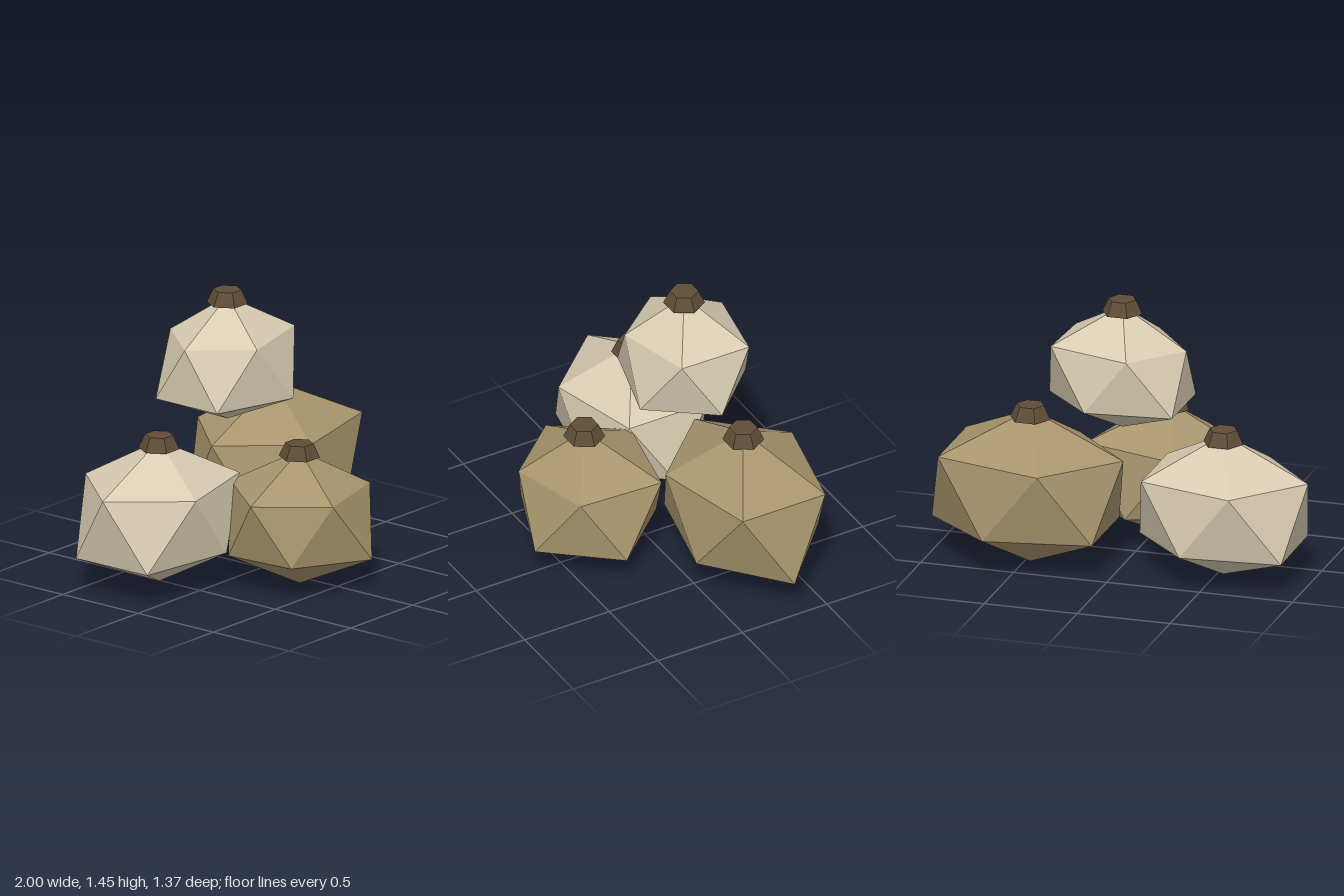
import * as THREE from 'three';

const paleCloth = new THREE.MeshStandardMaterial({ color: 0xd8cdb2, flatShading: true });
paleCloth.name = 'paleCloth';
const tanCloth = new THREE.MeshStandardMaterial({ color: 0xa8956d, flatShading: true });
tanCloth.name = 'tanCloth';
const darkTie = new THREE.MeshStandardMaterial({ color: 0x5f4e37, flatShading: true });
darkTie.name = 'darkTie';

// Lumpy icosahedron standing on a corner; each corner is pushed in or out by a factor
function lumpyBody([rx, ry, rz], top, upper, lower, bottom) {
  const ring = (factors, y, turn) => factors.map((f, i) => {
    const a = (i + turn) * Math.PI * 2 / 5;
    return [Math.cos(a) * 0.894 * f * rx / 0.894, y * f * ry, Math.sin(a) * f * rz];
  });
  const u = ring(upper, 0.447, 0.5);
  const l = ring(lower, -0.447, 0);
  const t = [0, top * ry, 0];
  const b = [0, -bottom * ry, 0];
  const corners = [];
  for (let i = 0; i < 5; i++) {
    const j = (i + 1) % 5;
    corners.push(t, u[j], u[i], u[i], l[j], l[i], u[i], u[j], l[j], b, l[i], l[j]);
  }
  const geometry = new THREE.BufferGeometry();
  geometry.setAttribute('position', new THREE.Float32BufferAttribute(corners.flat(), 3));
  geometry.computeVertexNormals();
  return geometry;
}

// Position is the body's middle; upper factors start at 36 degrees, lower ones at 0
const sacks = [
  { name: 'topSack', cloth: paleCloth, at: [0, 1.07, -0.23], size: [0.4, 0.36, 0.34], tieY: 1.42,
    top: 0.97, upper: [0.96, 0.89, 0.86, 0.89, 1], lower: [0.98, 1.03, 1.02, 1.02, 0.92], bottom: 0.86 },
  { name: 'leftPaleSack', cloth: paleCloth, at: [-0.545, 0.375, -0.235], size: [0.46, 0.41, 0.39], tieY: 0.77,
    top: 0.98, upper: [1, 0.96, 0.99, 1, 1], lower: [0.98, 0.92, 1.02, 1.03, 0.92], bottom: 0.87 },
  { name: 'frontSack', cloth: tanCloth, at: [-0.08, 0.35, 0.315], size: [0.42, 0.38, 0.37], tieY: 0.722,
    top: 0.97, upper: [0.94, 0.91, 0.94, 1, 1.11], lower: [1.05, 1.05, 0.91, 0.95, 1], bottom: 0.91 },
  { name: 'rightTanSack', cloth: tanCloth, at: [0.47, 0.405, -0.31], size: [0.5, 0.44, 0.4], tieY: 0.822,
    top: 0.97, upper: [1.04, 0.98, 1, 0.99, 1.04], lower: [1.06, 0.95, 1, 1, 0.95], bottom: 0.91 },
];

export function createModel() {
  const model = new THREE.Group();
  model.name = 'sackPile';
  const tieGeometry = new THREE.CylinderGeometry(0.073, 0.107, 0.073, 6);
  tieGeometry.rotateY(Math.PI / 6);

  for (const s of sacks) {
    const sack = new THREE.Group();
    sack.name = s.name;
    sack.position.set(...s.at);

    const body = new THREE.Mesh(lumpyBody(s.size, s.top, s.upper, s.lower, s.bottom), s.cloth);
    body.name = 'sackBody';

    // Six-sided knot closing the sack
    const tie = new THREE.Mesh(tieGeometry, darkTie);
    tie.name = 'sackTie';
    tie.position.y = s.tieY - s.at[1];

    sack.add(body, tie);
    model.add(sack);
  }
  return model;
}
